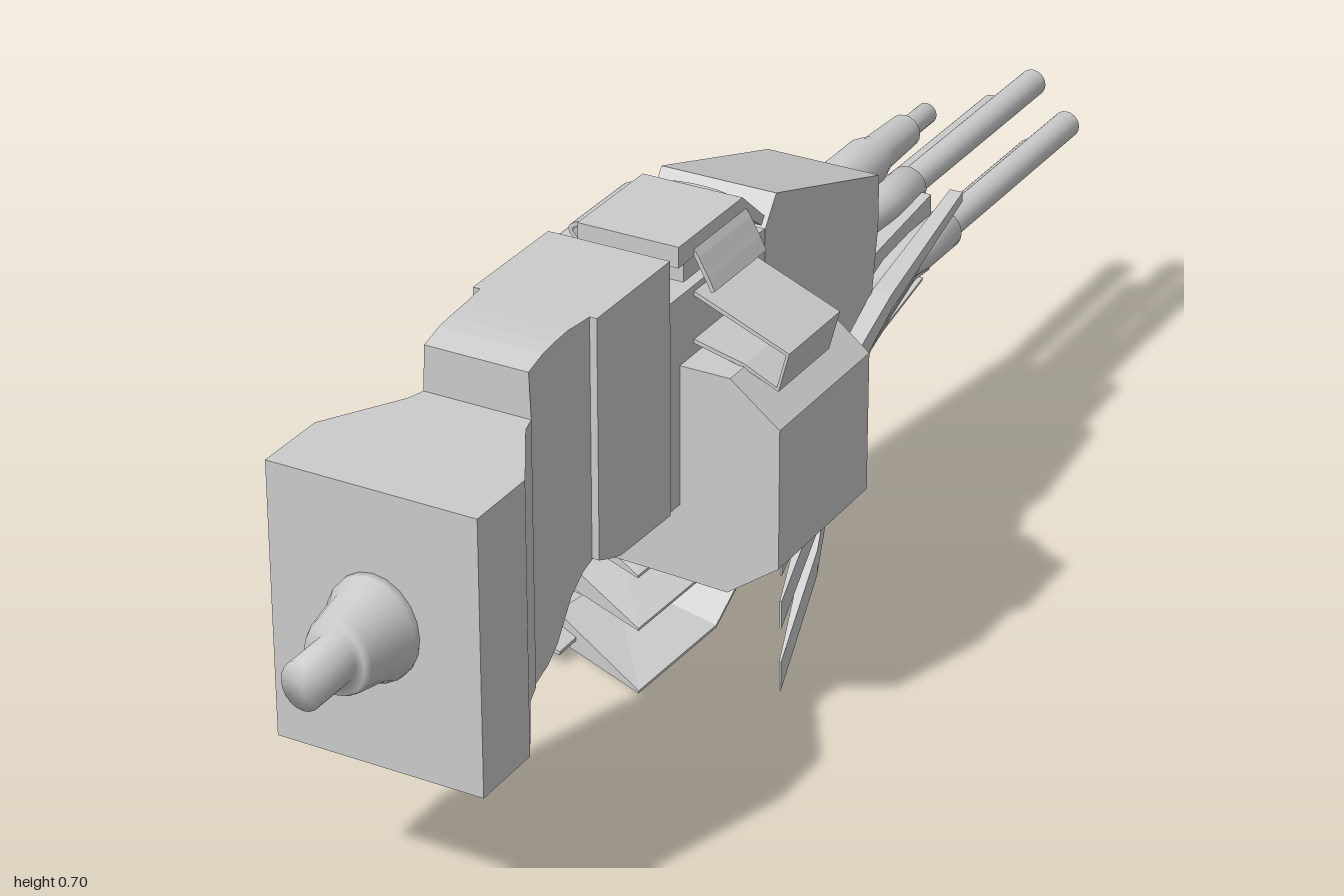
import * as THREE from 'three';

const CX = 0.03; // centre plane of the body
const lerp = THREE.MathUtils.lerp;

export function createModel() {
  const root = new THREE.Group();
  const flat = new THREE.MeshStandardMaterial({ color: 0xcccccc, flatShading: true, side: THREE.DoubleSide });
  const smooth = new THREE.MeshStandardMaterial({ color: 0xcccccc, side: THREE.DoubleSide });

  function add(name, geometry, material = flat) {
    const mesh = new THREE.Mesh(geometry, material);
    mesh.name = name;
    root.add(mesh);
    return mesh;
  }

  // Closed solid through a list of equal-sized point loops
  function loft(name, sections) {
    const n = sections[0].length, pos = [];
    const tri = (a, b, c) => pos.push(...a, ...b, ...c);
    for (let s = 0; s < sections.length - 1; s++) {
      const p = sections[s], q = sections[s + 1];
      for (let i = 0; i < n; i++) {
        const j = (i + 1) % n;
        tri(p[i], q[i], q[j]);
        tri(p[i], q[j], p[j]);
      }
    }
    const a = sections[0], b = sections[sections.length - 1];
    for (let i = 1; i < n - 1; i++) {
      tri(a[0], a[i], a[i + 1]);
      tri(b[0], b[i + 1], b[i]);
    }
    const g = new THREE.BufferGeometry();
    g.setAttribute('position', new THREE.Float32BufferAttribute(pos, 3));
    g.computeVertexNormals();
    return add(name, g);
  }

  // Rectangular sections along z: [z, half width, bottom, top]
  function boxLoft(name, rows) {
    return loft(name, rows.map(([z, h, y0, y1]) =>
      [[CX - h, y0, z], [CX + h, y0, z], [CX + h, y1, z], [CX - h, y1, z]]));
  }

  const shapeOf = pts => new THREE.Shape(pts.map(p => new THREE.Vector2(...p)));

  // Side profile of [z, y] points, extruded across x
  function sideExtrude(name, pts, half, cx = CX) {
    const g = new THREE.ExtrudeGeometry(shapeOf(pts), { depth: 2 * half, bevelEnabled: false });
    g.translate(0, 0, -half).rotateY(-Math.PI / 2).translate(cx, 0, 0);
    return add(name, g);
  }

  // Front profile of [x, y] points, extruded from z0 to z1
  function frontExtrude(name, pts, z0, z1) {
    const g = new THREE.ExtrudeGeometry(shapeOf(pts), { depth: z1 - z0, bevelEnabled: false });
    return add(name, g.translate(0, 0, z0));
  }

  // Thin strip following a path of [x, y] points
  function ribbon(name, path, z0, z1, t = 0.003) {
    const left = [], right = [];
    path.forEach(([x, y], i) => {
      const a = path[Math.max(i - 1, 0)], b = path[Math.min(i + 1, path.length - 1)];
      const dx = b[0] - a[0], dy = b[1] - a[1], l = Math.hypot(dx, dy) || 1;
      left.push([x - dy / l * t, y + dx / l * t]);
      right.unshift([x + dy / l * t, y - dx / l * t]);
    });
    return frontExtrude(name, [...left, ...right], z0, z1);
  }

  // Turned part along z: rows of [radius, z]
  function turned(name, rows, x, y, sx = 1, sy = 1) {
    const g = new THREE.LatheGeometry(rows.map(r => new THREE.Vector2(...r)), 20);
    g.rotateX(Math.PI / 2).scale(sx, sy, 1).translate(x, y, 0);
    return add(name, g, smooth);
  }

  // Front housing and its curved neck
  boxLoft('frontHousing', [
    [0.84, 0.15, 0.235, 0.625], [0.73, 0.15, 0.235, 0.625], [0.62, 0.085, 0.237, 0.625],
    [0.595, 0.078, 0.242, 0.625], [0.595, 0.075, 0.242, 0.69], [0.56, 0.075, 0.255, 0.7],
    [0.535, 0.075, 0.275, 0.703], [0.5, 0.075, 0.325, 0.705], [0.475, 0.078, 0.35, 0.705],
    [0.45, 0.08, 0.36, 0.705],
  ]);
  turned('frontNozzle', [[0, 0.83], [0.065, 0.83], [0.064, 0.85], [0.055, 0.87], [0.047, 0.92],
    [0.043, 0.93], [0.03, 0.93], [0.03, 1], [0, 1]], CX, 0.435, 1, 1.15);

  // Receiver blocks
  sideExtrude('receiver', [[0.455, 0.36], [0.455, 0.705], [0.27, 0.705], [0.27, 0.335],
    [0.4, 0.34], [0.43, 0.35]], 0.09);
  sideExtrude('midReceiver', [[0.28, 0.335], [0.28, 0.64], [-0.02, 0.64], [-0.02, 0.32], [0.24, 0.335]], 0.086);
  sideExtrude('rearReceiver', [[0.01, 0.32], [0.01, 0.64], [-0.02, 0.68], [-0.32, 0.583],
    [-0.32, 0.505], [-0.3, 0.375]], 0.087);

  // Hinged top cover
  sideExtrude('topCover', [[0.23, 0.675], [0.23, 0.705], [0.06, 0.705], [-0.01, 0.645],
    [-0.01, 0.63], [0.06, 0.68]], 0.075, 0.035);
  sideExtrude('coverBase', [[0.2, 0.63], [0.2, 0.68], [0.06, 0.68], [0.06, 0.63]], 0.065, 0.035);

  // Side magazine box
  frontExtrude('magazineBox', [[0.105, 0.54], [0.19, 0.54], [0.263, 0.483], [0.263, 0.278],
    [0.187, 0.222], [0.105, 0.225], [0.0, 0.228], [0.0, 0.34], [0.105, 0.34]], -0.012, 0.238);

  // Feed strap hanging on one side and crossing the top
  const strap = new THREE.CatmullRomCurve3([
    [-0.1, 0.02], [-0.14, 0.025], [-0.2, 0.037], [-0.24, 0.065], [-0.256, 0.11], [-0.259, 0.18], [-0.264, 0.25],
    [-0.248, 0.283], [-0.19, 0.295], [-0.16, 0.325], [-0.157, 0.38], [-0.148, 0.44], [-0.165, 0.472],
    [-0.189, 0.5], [-0.172, 0.55], [-0.13, 0.59], [-0.108, 0.62], [-0.112, 0.636], [-0.085, 0.642],
    [-0.06, 0.65], [-0.075, 0.672], [-0.055, 0.684], [0.03, 0.7], [0.1, 0.69], [0.125, 0.655], [0.138, 0.63],
  ].map(p => new THREE.Vector3(...p, 0)));
  ribbon('feedStrap', strap.getPoints(100).map(p => [p.x, p.y]), 0.05, 0.19);
  ribbon('feedTray', [[0.11, 0.63], [0.19, 0.598], [0.253, 0.573], [0.239, 0.519], [0.19, 0.541], [0.11, 0.56]],
    0.06, 0.2);

  // Small upper barrel
  turned('upperBarrel', [[0, -0.3], [0.036, -0.3], [0.036, -0.45], [0.028, -0.48], [0.025, -0.57],
    [0.016, -0.58], [0.016, -0.64], [0, -0.64]].reverse(), CX, 0.53);

  // Four rear barrels, each in a pointed fairing
  for (const [x, y] of [[0.03, 0.438], [0.03, 0.323], [-0.035, 0.382], [0.088, 0.382]]) {
    turned('rearBarrel', [[0, -1], [0.021, -1], [0.021, -0.55], [0, -0.55]], x, y);
    turned('barrelFairing', [[0, -0.585], [0.03, -0.585], [0.03, -0.5], [0.022, -0.42], [0, -0.33]], x, y);
  }
  boxLoft('barrelHub', [[-0.25, 0.05, 0.34, 0.41], [-0.4, 0.045, 0.33, 0.42], [-0.57, 0.045, 0.32, 0.44]]);

  // Fan of curved strips: broad ones on the right, narrow blades on the left
  const levels = [[0, 0.045], [0.098, 0.14], [0.18, 0.222], [0.235, 0.27], [0.285, 0.32]];
  levels.forEach(([lo, hi], i) => {
    const k = i / 4;
    const hubY = 0.295 + 0.14 * k; // height where the strip meets the hub
    const midY = lerp(0.25, 0.385, k);
    const wedge = (outer, inner, yo, h, yi, zo, zi) => [
      [outer, yo, zo], [inner, yi, zi], [inner, yi + 0.004, zi], [outer, yo + h, zo]];
    loft('wideStrip', [
      wedge(-0.14, 0.03, lo, hi - lo, lo, 0.13, 0.2),
      wedge(-0.125, 0.045, lerp(lo + 0.005, lo + 0.05, k), 0.035, lo + 0.01, 0, 0.01),
      wedge(lerp(-0.07, -0.1, k), 0.07, midY, 0.018, midY, -0.31, -0.31),
      wedge(lerp(-0.02, -0.07, k), 0.06, hubY, 0.012, hubY, -0.58, -0.58),
    ]);
    const blade = (x, y, h, z, w) => [[x - w, y, z], [x, y, z], [x, y + h, z], [x - w, y + h, z]];
    loft('narrowBlade', [
      blade(0.195, lo, hi - lo, 0.1, 0.003),
      blade(0.165, lerp(lo, 0.33, 0.28), 0.04, -0.06, 0.02),
      blade(lerp(0.08, 0.145, k), midY, 0.025, -0.31, 0.03),
      blade(lerp(0.05, 0.12, k), hubY, 0.015, -0.58, 0.02),
    ]);
  });

  return root;
}
